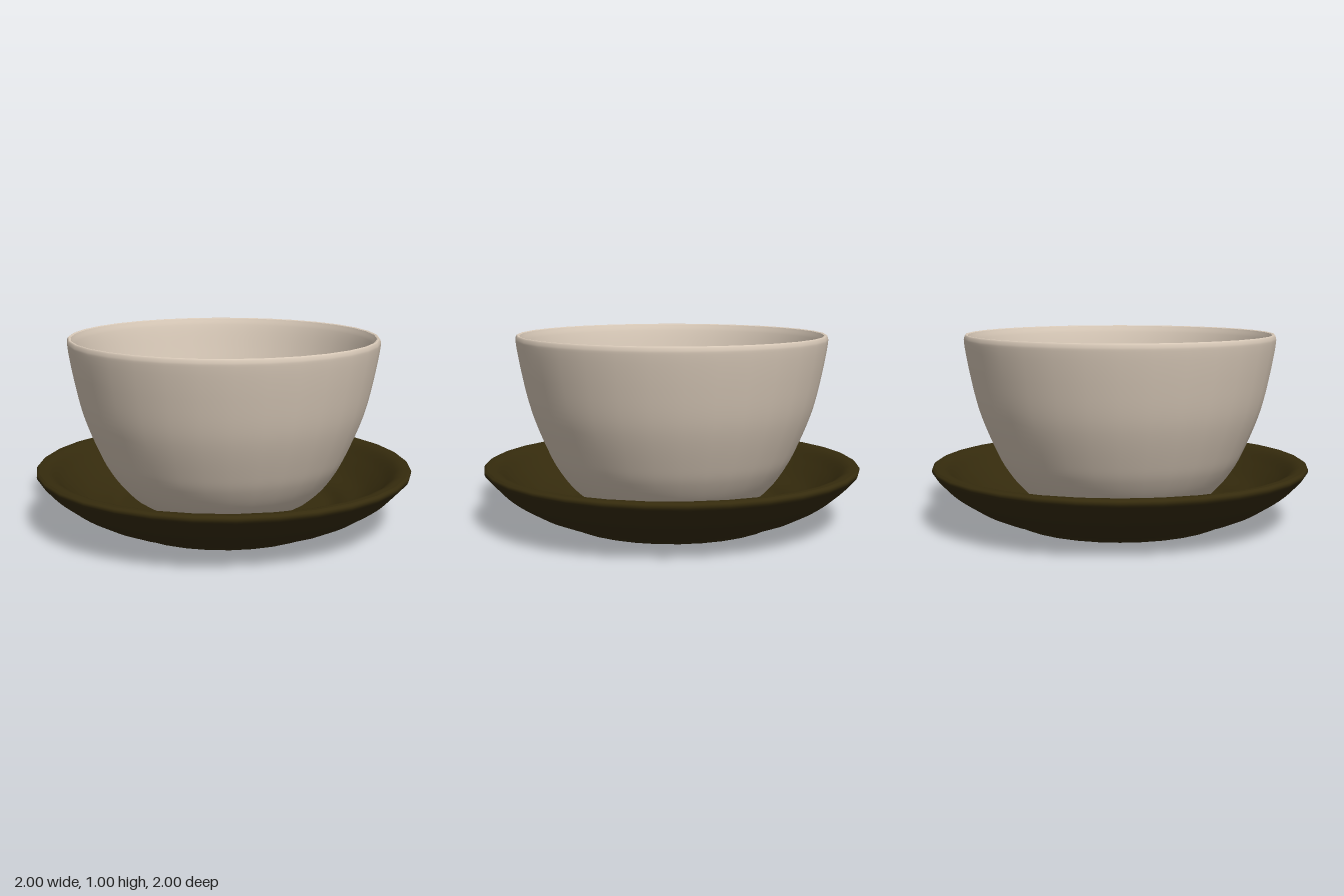
import * as THREE from 'three';

const SEGMENTS = 32;

// Turns a smooth curve through [radius, height] pairs into a lathed surface.
// Profiles run from the underside, up the outside, and back down the inside.
function turned(name, profile, steps, material) {
  const curve = new THREE.CatmullRomCurve3(
    profile.map(([r, y]) => new THREE.Vector3(r, y, 0)), false, 'centripetal');
  const points = curve.getPoints(steps).map(p => new THREE.Vector2(Math.max(p.x, 0), p.y));
  const mesh = new THREE.Mesh(new THREE.LatheGeometry(points, SEGMENTS), material);
  mesh.name = name;
  return mesh;
}

export function createModel() {
  const model = new THREE.Group();
  model.name = 'bowlOnSaucer';
  const clay = new THREE.MeshStandardMaterial({ color: 0xd8c9b8 });
  const darkGlaze = new THREE.MeshStandardMaterial({ color: 0x352b0d });

  // Bowl: rounded base, flaring wall and thin rounded lip
  const bowl = new THREE.Group();
  bowl.name = 'bowl';
  bowl.add(
    turned('bowlOuterWall', [
      [0, 0.1], [0.38, 0.1], [0.46, 0.13], [0.54, 0.2], [0.62, 0.31], [0.67, 0.41],
      [0.745, 0.6], [0.793, 0.8], [0.82, 0.96], [0.82, 0.98], [0.812, 0.998], [0.8, 0.995],
    ], 66, clay),
    // Inside, ending in a shallow drain dimple with a raised lip
    turned('bowlInside', [
      [0.8, 0.995], [0.785, 0.96], [0.75, 0.82], [0.722, 0.7], [0.69, 0.54], [0.63, 0.38],
      [0.55, 0.27], [0.45, 0.215], [0.3, 0.185], [0.18, 0.18], [0.15, 0.19], [0.125, 0.187],
      [0.108, 0.165], [0.1, 0.155], [0, 0.155],
    ], 84, clay));

  // Saucer: flat foot, curved underside, rounded rim and dished top
  const saucer = new THREE.Group();
  saucer.name = 'saucer';
  saucer.add(
    turned('saucerFoot', [[0, 0], [0.55, 0]], 1, darkGlaze),
    turned('saucerUnderside', [
      [0.55, 0], [0.57, 0.006], [0.6, 0.03], [0.7, 0.06], [0.8, 0.11], [0.9, 0.18],
      [0.97, 0.25], [0.998, 0.285], [0.998, 0.3], [0.985, 0.31],
    ], 44, darkGlaze),
    turned('saucerTop', [
      [0.985, 0.31], [0.95, 0.308], [0.92, 0.295], [0.85, 0.235], [0.75, 0.165],
      [0.65, 0.125], [0.58, 0.09], [0.5, 0.085], [0, 0.085],
    ], 44, darkGlaze));

  model.add(bowl, saucer);
  return model;
}
